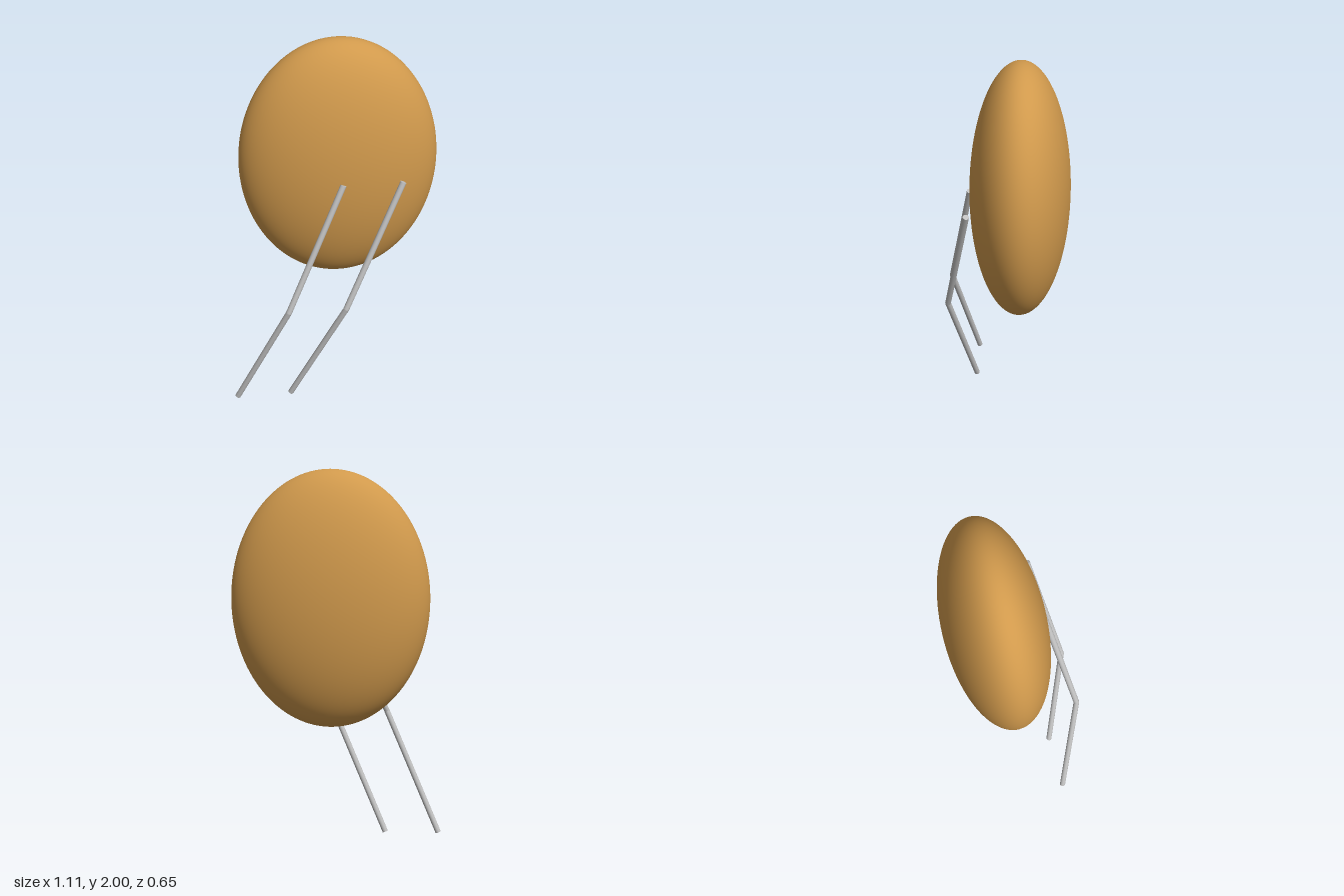
import * as THREE from 'three';

export function createModel() {
  const model = new THREE.Group();
  const amber = new THREE.MeshStandardMaterial({ color: 0xd0994c });
  amber.name = 'amber';
  const silver = new THREE.MeshStandardMaterial({ color: 0xc0c0c0 });
  silver.name = 'silver';

  // Smooth flattened egg-shaped body
  const body = new THREE.Mesh(new THREE.SphereGeometry(1, 96, 64), amber);
  body.name = 'body';
  body.scale.set(0.508, 0.66, 0.253);
  body.position.set(0.047, 1.34, -0.074);
  model.add(body);

  // Thin bent legs: two straight rods meeting at a knee
  const radius = 0.0155;
  const up = new THREE.Vector3(0, 1, 0);
  function rod(name, from, to) {
    const dir = to.clone().sub(from);
    const mesh = new THREE.Mesh(new THREE.CylinderGeometry(radius, radius, dir.length(), 16), silver);
    mesh.name = name;
    mesh.position.copy(from).add(to).multiplyScalar(0.5);
    mesh.quaternion.setFromUnitVectors(up, dir.normalize());
    return mesh;
  }

  function makeLeg(name, x) {
    const leg = new THREE.Group();
    leg.name = name;
    const foot = new THREE.Vector3(-0.542, 0.007, 0.179);
    const knee = new THREE.Vector3(-0.249, 0.674, 0.309);
    const hip = new THREE.Vector3(0.044, 1.337, 0.179);
    const joint = new THREE.Mesh(new THREE.SphereGeometry(radius, 16, 12), silver);
    joint.name = 'knee';
    joint.position.copy(knee);
    leg.add(rod('shin', foot, knee), rod('thigh', knee, hip), joint);
    leg.position.x = x;
    return leg;
  }

  model.add(makeLeg('rightLeg', 0), makeLeg('leftLeg', 0.297));
  return model;
}
